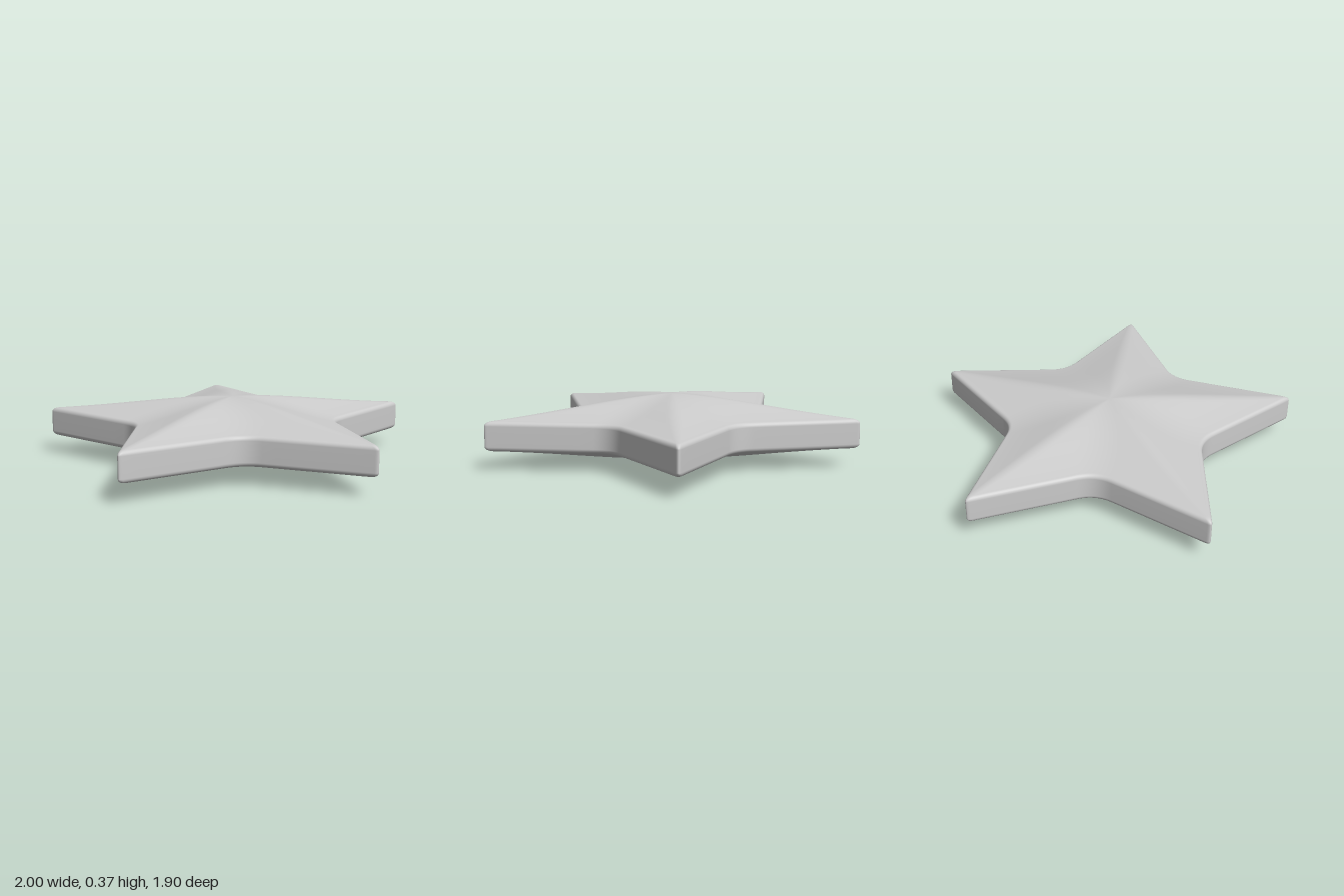
import * as THREE from 'three';
import { mergeVertices } from 'three/addons/utils/BufferGeometryUtils.js';

const CENTRE_Y = 0.186, CENTRE_Z = 0.1;
const TIP = 1.064, NOTCH = 0.55;

// Five-pointed outline with rounded tips and notches; always the same point count.
function starOutline(tip, notch, tipRound, notchRound) {
  const corner = (k) => {
    const a = (k * Math.PI) / 5, r = k % 2 ? notch : tip;
    return new THREE.Vector2(r * Math.sin(a), -r * Math.cos(a));
  };
  const round = (k) => (k % 2 ? notchRound : tipRound);
  const towards = (from, to, d) => from.clone().add(to.clone().sub(from).setLength(d));
  const points = [];
  for (let k = 0; k < 10; k++) {
    const c = corner(k), next = corner(k + 1);
    const start = towards(c, corner(k + 9), round(k));
    const end = towards(c, next, round(k));
    points.push(...new THREE.QuadraticBezierCurve(start, c, end).getPoints(8));
    const nextStart = towards(next, c, round(k + 1));
    for (let i = 1; i < 8; i++) points.push(end.clone().lerp(nextStart, i / 8));
  }
  return points;
}

// Outline moved inwards by d, keeping the sides parallel.
const insetOutline = (d) => starOutline(TIP - 2.15 * d, NOTCH - 1.115 * d, 0.03, 0.1);

// Rings from the crown of the dome down to the middle of the side wall.
function upperRings() {
  const rings = [], inset = 0.022, steps = 24;
  for (let i = 0; i <= steps; i++) {
    const s = i / steps;
    const drop = 0.35 * (0.5 - 0.5 * Math.cos(Math.PI * s)) + 0.65 * Math.pow(s, 1.5);
    const outline = starOutline(TIP - 2.15 * inset, NOTCH - 1.115 * inset,
      0.03 + 0.25 * (1 - s), 0.1 + 0.2 * (1 - s));
    rings.push({ y: 0.183 - 0.103 * drop, points: outline.map((p) => p.multiplyScalar(s)) });
  }
  // rounded rim
  for (let i = 1; i <= 6; i++) {
    const a = (i / 6) * Math.PI / 2;
    rings.push({ y: 0.055 + 0.025 * Math.cos(a), points: insetOutline(inset * (1 - Math.sin(a))) });
  }
  rings.push({ y: 0, points: insetOutline(0) });
  return rings;
}

// Skin the rings, with the lower half mirrored from the upper half.
function starGeometry() {
  const upper = upperRings();
  const lower = upper.slice(0, -1).reverse().map((r) => ({ y: -r.y, points: r.points }));
  const rings = [...upper, ...lower];
  const n = rings[0].points.length, positions = [], index = [];
  for (const ring of rings)
    for (const p of ring.points) positions.push(p.x, CENTRE_Y + ring.y, CENTRE_Z + p.y);
  for (let i = 0; i < rings.length - 1; i++) {
    for (let j = 0; j < n; j++) {
      const k = (j + 1) % n;
      const a = i * n + j, b = i * n + k, c = a + n, d = b + n;
      if (i < rings.length - 2) index.push(a, d, c);
      if (i > 0) index.push(a, b, d);
    }
  }
  const geometry = new THREE.BufferGeometry();
  geometry.setAttribute('position', new THREE.Float32BufferAttribute(positions, 3));
  geometry.setIndex(index);
  const merged = mergeVertices(geometry, 1e-5);
  merged.computeVertexNormals();
  return merged;
}

export function createModel() {
  const model = new THREE.Group();
  model.name = 'star';
  const body = new THREE.Mesh(starGeometry(), new THREE.MeshStandardMaterial({ color: 0xcccccc }));
  body.name = 'starBody';
  model.add(body);
  return model;
}
